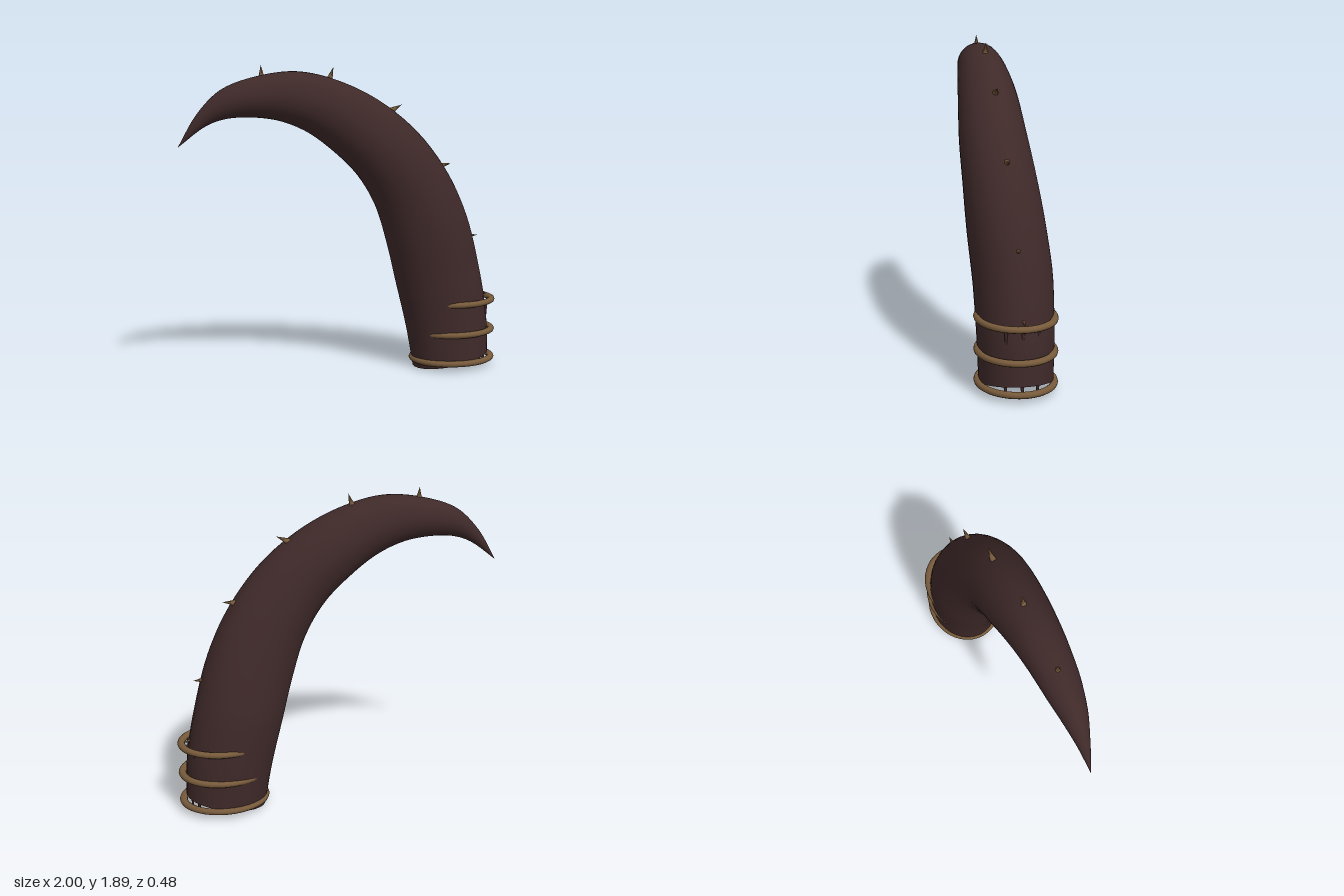
import * as THREE from 'three';

const hornMat = new THREE.MeshStandardMaterial({ color: 0x3f2929 });
hornMat.name = 'dark horn';
const ringMat = new THREE.MeshStandardMaterial({ color: 0x775a3b });
ringMat.name = 'bronze';

// Horn sections: inner x, inner y, outer x, outer y, back z, front z
const SECTIONS = [
  [0.475, 0.005, 0.96, 0.095, -0.22, 0.2],
  [0.43, 0.25, 0.945, 0.35, -0.23, 0.205],
  [0.36, 0.53, 0.885, 0.66, -0.235, 0.215],
  [0.285, 0.8, 0.79, 0.97, -0.21, 0.235],
  [0.2, 1.04, 0.655, 1.235, -0.18, 0.24],
  [0.08, 1.23, 0.45, 1.49, -0.155, 0.235],
  [-0.08, 1.385, 0.2, 1.685, -0.145, 0.21],
  [-0.25, 1.505, -0.06, 1.805, -0.13, 0.18],
  [-0.42, 1.57, -0.3, 1.855, -0.115, 0.15],
  [-0.6, 1.59, -0.55, 1.825, -0.1, 0.115],
  [-0.73, 1.58, -0.75, 1.75, -0.08, 0.07],
  [-0.84, 1.54, -0.89, 1.61, -0.058, 0.02],
  [-1, 1.42, -1, 1.42, -0.035, -0.035],
];

// Skin a list of point loops into one smooth surface
function loft(loops) {
  const n = loops[0].length, pos = [], idx = [];
  loops.forEach((loop) => loop.forEach((p) => pos.push(p.x, p.y, p.z)));
  for (let i = 0; i < loops.length - 1; i++) {
    for (let j = 0; j < n; j++) {
      const k = (j + 1) % n;
      const a = i * n + j, b = i * n + k, c = a + n, d = b + n;
      idx.push(a, c, b, b, c, d);
    }
  }
  const g = new THREE.BufferGeometry();
  g.setAttribute('position', new THREE.Float32BufferAttribute(pos, 3));
  g.setIndex(idx);
  g.computeVertexNormals();
  return g;
}

// Elliptical loop spanning an inner point, an outer point and a z range
function sectionLoop(inner, outer, z, scale = 1, lift = 0) {
  const mid = inner.clone().add(outer).multiplyScalar(0.5);
  const half = outer.clone().sub(inner).multiplyScalar(0.5 * scale);
  const zc = (z.x + z.y) / 2, zr = ((z.y - z.x) / 2) * scale;
  return Array.from({ length: 32 }, (_, j) => {
    const a = (j / 32) * Math.PI * 2, c = Math.cos(a);
    return new THREE.Vector3(
      mid.x + half.x * c - lift * 0.18, mid.y + half.y * c + lift, zc + zr * Math.sin(a));
  });
}

function add(group, name, geometry, material) {
  const mesh = new THREE.Mesh(geometry, material);
  mesh.name = name;
  group.add(mesh);
  return mesh;
}

export function createModel() {
  const model = new THREE.Group();
  model.name = 'curvedHorn';

  // Horn body, interpolated between the sections
  const spline = (f) => new THREE.CatmullRomCurve3(SECTIONS.map(f));
  const innerCurve = spline((s) => new THREE.Vector3(s[0], s[1], 0));
  const outerCurve = spline((s) => new THREE.Vector3(s[2], s[3], 0));
  const zCurve = spline((s) => new THREE.Vector3(s[4], s[5], 0));
  const loops = [];
  for (let i = 0; i <= 60; i++) {
    const t = i / 60;
    loops.push(sectionLoop(innerCurve.getPoint(t), outerCurve.getPoint(t), zCurve.getPoint(t)));
  }
  add(model, 'hornBody', loft(loops), hornMat);

  // Base rim and the shallow hollow inside it
  const i0 = innerCurve.getPoint(0), o0 = outerCurve.getPoint(0), z0 = zCurve.getPoint(0);
  const base = (scale, lift) => sectionLoop(i0, o0, z0, scale, lift);
  add(model, 'baseRim', loft([base(0.7, 0), base(1, 0)]), hornMat);
  add(model, 'baseHollowWall', loft([base(0.64, 0.06), base(0.7, 0)]), hornMat);
  add(model, 'baseHollowFloor', loft([base(0, 0.06), base(0.64, 0.06)]), hornMat);

  // Oval bands around the root
  [0.055, 0.235, 0.425].forEach((y, i) => {
    const ring = new THREE.TorusGeometry(0.216, 0.02, 10, 48);
    ring.rotateX(Math.PI / 2).scale(1.165, 0.95, 1);
    add(model, 'band' + (i + 1), ring, ringMat).position.set(0.725, y, -0.007);
  });

  // Small pegs hanging behind the lowest and highest bands
  for (const [x, y] of [[0.925, 0.065], [0.938, 0.375]]) {
    for (const z of [-0.095, -0.005, 0.085]) {
      const peg = new THREE.CylinderGeometry(0.012, 0.006, 0.09, 8);
      add(model, 'peg', peg, hornMat).position.set(x - Math.abs(z) * 0.25, y, z);
    }
  }

  // Thorns along the outer ridge: tip x, y, z and direction x, y
  const thorns = [
    [-0.512, 1.892, 0.005, -0.05, 1],
    [-0.072, 1.878, 0.02, 0.35, 1],
    [0.362, 1.652, 0.03, 1, 0.5],
    [0.692, 1.285, 0.025, 1, 0.15],
    [0.888, 0.825, 0.003, 1, 0.02],
    [0.965, 0.44, -0.01, 1, -0.35],
  ];
  const up = new THREE.Vector3(0, 1, 0);
  for (const [x, y, z, dx, dy] of thorns) {
    const cone = new THREE.ConeGeometry(0.023, 0.09, 6);
    cone.translate(0, -0.045, 0);
    const thorn = add(model, 'thorn', cone, ringMat);
    thorn.position.set(x, y, z);
    thorn.quaternion.setFromUnitVectors(up, new THREE.Vector3(dx, dy, 0).normalize());
  }
  return model;
}
